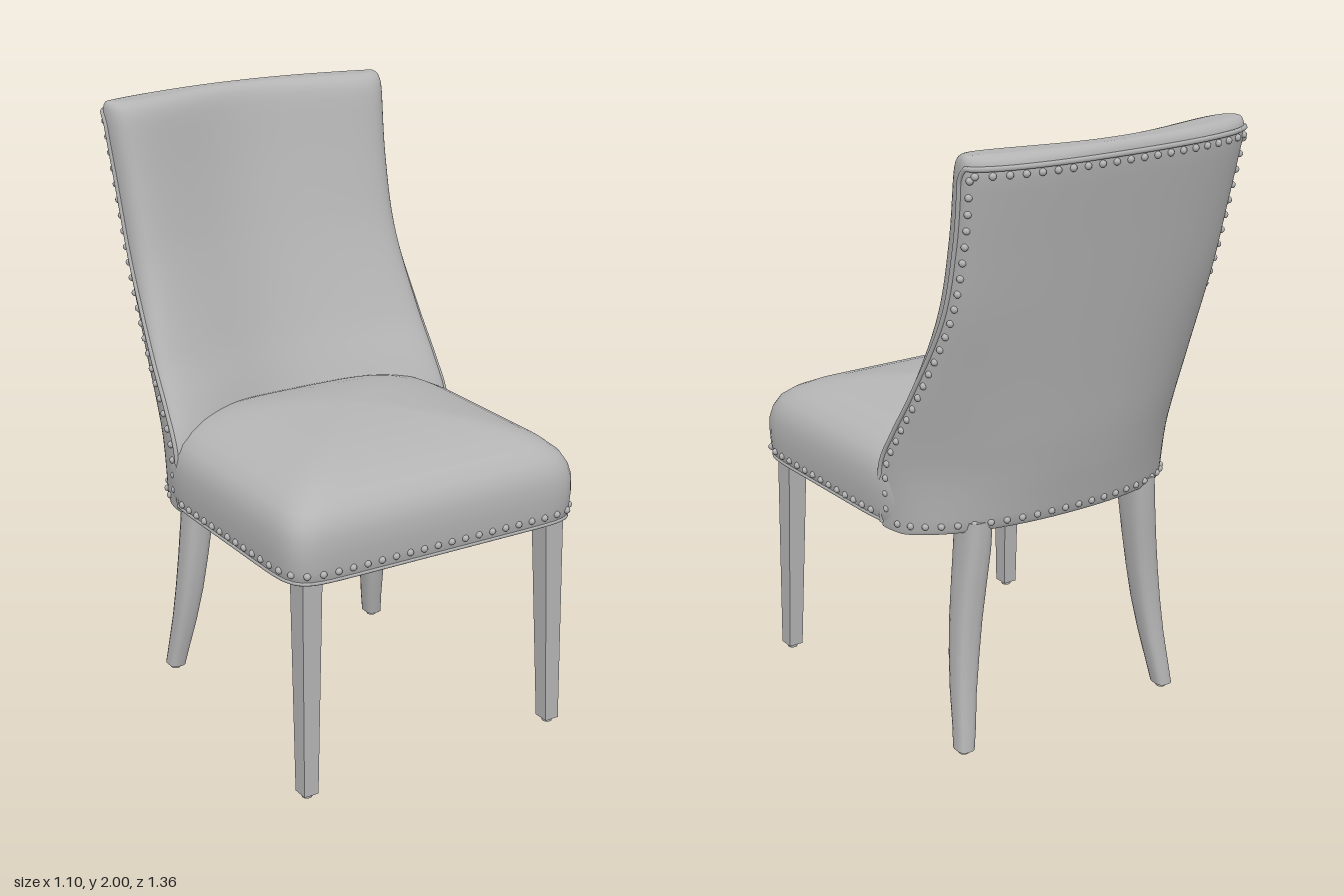
import * as THREE from 'three';

const V = (x, y, z) => new THREE.Vector3(x, y, z);

// Closed rings stacked upward (each running +x to +z), with strip caps at both ends.
function loft(rings, flat = false) {
  const m = rings[0].length, pos = [], idx = [];
  const add = (ring) => { const base = pos.length / 3; ring.forEach(p => pos.push(p.x, p.y, p.z)); return base; };
  rings.forEach(add);
  for (let r = 0; r < rings.length - 1; r++) {
    for (let i = 0; i < m; i++) {
      const a = r * m + i, b = r * m + (i + 1) % m;
      idx.push(a, a + m, b, b, a + m, b + m);
    }
  }
  const bottom = add(rings[0]), top = add(rings[rings.length - 1]);
  for (let i = 0; i < m / 2 - 1; i++) {
    const j = m - 1 - i;
    idx.push(top + i + 1, top + i, top + j, top + i + 1, top + j, top + j - 1);
    idx.push(bottom + i, bottom + i + 1, bottom + j, bottom + j, bottom + i + 1, bottom + j - 1);
  }
  let g = new THREE.BufferGeometry();
  g.setAttribute('position', new THREE.Float32BufferAttribute(pos, 3));
  g.setIndex(idx);
  if (flat) g = g.toNonIndexed();
  g.computeVertexNormals();
  return g;
}

// Smooth interpolation of table rows keyed by their first column
function sample(table, y) {
  const last = table.length - 1;
  let i = 0;
  while (i < last - 1 && y > table[i + 1][0]) i++;
  const a = table[i], b = table[i + 1], h = b[0] - a[0];
  const t = Math.min(1, Math.max(0, (y - a[0]) / h));
  const slope = (k, c) => {
    const p = table[Math.max(0, k - 1)], q = table[Math.min(last, k + 1)];
    return (q[c] - p[c]) / (q[0] - p[0]);
  };
  return a.map((v, c) => v * (1 + 2 * t) * (1 - t) ** 2 + b[c] * t * t * (3 - 2 * t)
    + h * (slope(i, c) * t * (1 - t) ** 2 + slope(i + 1, c) * t * t * (t - 1)));
}

// Backrest: height, half width, rear z, side seam z, wing front z, inner centre z
const BACK = [
  [0.72, 0.525, -0.435, -0.10, -0.085, -0.20],
  [0.93, 0.53, -0.475, -0.105, -0.085, -0.22],
  [1.05, 0.526, -0.50, -0.17, -0.14, -0.265],
  [1.2, 0.52, -0.527, -0.27, -0.23, -0.33],
  [1.48, 0.508, -0.58, -0.43, -0.35, -0.43],
  [1.72, 0.512, -0.625, -0.505, -0.415, -0.50],
  [1.93, 0.525, -0.665, -0.55, -0.46, -0.55],
  [2.0, 0.53, -0.675, -0.56, -0.475, -0.565],
];
const N = 2.3;

// The lower edge rises slightly toward the rear
const lifted = (y, z) => y + 0.04 * Math.max(0, (-0.2 - z) / 0.24) * Math.max(0, 1 - (y - 0.72) / 0.2);

// Point on the outer shell; t runs from -1 (right seam) to 1 (left seam)
function shellOuter(y, t) {
  const [, w, rear, seam] = sample(BACK, y), a = t * Math.PI / 2;
  const x = w * Math.sign(t) * Math.abs(Math.sin(a)) ** (2 / N);
  const z = seam + (rear - seam) * Math.max(0, Math.cos(a)) ** (2 / N);
  return V(x, lifted(y, z), z);
}

// Point on the padded inner face
function shellInner(y, t) {
  const [, w, , seam, front, centre] = sample(BACK, y), s = Math.sin(t * Math.PI / 2);
  const wave = centre + (front - centre) * (1 - Math.cos(Math.PI * Math.abs(s))) / 2;
  const z = seam + (wave - seam) * Math.sqrt(Math.max(0, 1 - Math.abs(s) ** 16));
  return V(w * s, lifted(y, z), z);
}

function backRing(y, inset) {
  const n = 56, outer = [], inner = [];
  for (let i = 0; i <= n; i++) {
    const t = i / n * 2 - 1, o = shellOuter(y, t), p = shellInner(y, t);
    const mid = o.clone().add(p).multiplyScalar(0.5);
    for (const q of [o, p]) { q.lerp(mid, inset); q.x *= 1 - 0.06 * inset; }
    outer.push(o);
    inner.unshift(p);
  }
  return outer.concat(inner);
}

// Rounded plan outline of the seat
const SEAT_Z = 0.1;
function seatPoint(angle, scale, y) {
  const c = Math.cos(angle), s = Math.sin(angle);
  const n = s > 0 ? 12 : 4, depth = s > 0 ? 0.57 : 0.44;
  const r = scale * (Math.abs(c / 0.543) ** n + Math.abs(s / depth) ** n) ** (-1 / n);
  return V(r * c, y, SEAT_Z + r * s);
}

function span(from, to, n, f) {
  return Array.from({ length: n + 1 }, (_, i) => f(from + (to - from) * i / n));
}

export function createModel() {
  const chair = new THREE.Group();
  chair.name = 'diningChair';
  const grey = new THREE.MeshStandardMaterial({ color: 0xb4b4b4 });
  grey.name = 'plainGrey';
  const add = (name, geometry, parent = chair) => {
    const mesh = new THREE.Mesh(geometry, grey);
    mesh.name = name;
    parent.add(mesh);
    return mesh;
  };

  // Domed seat cushion: height, plan scale
  const seatRows = [[0.735, 0.97], [0.745, 0.985], [0.78, 0.995], [0.83, 1], [0.88, 0.998], [0.92, 0.98],
    [0.955, 0.945], [0.985, 0.88], [1.01, 0.79], [1.03, 0.67], [1.047, 0.52], [1.059, 0.35], [1.067, 0.17], [1.069, 0.03]];
  add('seatCushion', loft(seatRows.map(([y, k]) =>
    Array.from({ length: 160 }, (_, i) => seatPoint(i / 160 * Math.PI * 2, k, y)))));

  // Wraparound backrest with a rolled top
  const backRows = [[0.72, 0.06], [0.735, 0]];
  for (let i = 1; i <= 30; i++) backRows.push([0.735 + 1.195 * i / 30, 0]);
  backRows.push([1.955, 0.03], [1.975, 0.1], [1.988, 0.22], [1.996, 0.38], [2.0, 0.6]);
  add('backrest', loft(backRows.map(([y, k]) => backRing(y, k))));

  // Piping along the backrest seam and the seat's lower edge
  const tube = (name, points, r) =>
    add(name, new THREE.TubeGeometry(new THREE.CatmullRomCurve3(points), 180, r, 6));
  const seamUp = t => span(0.735, 1.93, 24, y => shellOuter(y, t));
  tube('backPiping', [...seamUp(-1), ...span(-0.92, 0.92, 24, t => shellOuter(1.965, t)), ...seamUp(1).reverse()], 0.008);
  tube('seatPiping', span(-0.36, Math.PI + 0.36, 120, a => seatPoint(a, 0.982, 0.744)), 0.007);

  // Nail heads spaced evenly along the trimmed edges
  const nail = new THREE.SphereGeometry(0.0115, 10, 6);
  const nails = (name, points) => {
    const row = new THREE.Group(), curve = new THREE.CatmullRomCurve3(points);
    row.name = name;
    curve.getSpacedPoints(Math.round(curve.getLength() / 0.052))
      .forEach(p => add('nailHead', nail, row).position.copy(p));
    chair.add(row);
  };
  nails('seatNails', span(-0.28, Math.PI + 0.28, 160, a => seatPoint(a, 0.994, 0.765 + 0.01 * Math.max(0, Math.sin(a)))));
  nails('backBottomNails', span(-0.88, 0.88, 60, t => shellOuter(0.752, t)));
  nails('backTopNails', span(-0.8, 0.8, 40, t => shellOuter(1.943, t)));
  for (const side of [-1, 1]) {
    nails('backSideNails', span(0.79, 1.93, 40, y => {
      const [, w, rear, seam] = sample(BACK, y), d = 0.032;
      return V(side * w * (1 - (d / (seam - rear)) ** N) ** (1 / N), y, seam - d);
    }));
  }

  // Leg section: y, centre x, centre z, half width, half depth
  const legRing = ([y, x, z, a, b], side, count, n) => Array.from({ length: count }, (_, i) => {
    const t = (i + 0.5) / count * Math.PI * 2, c = Math.cos(t), s = Math.sin(t);
    const r = (Math.abs(c) ** n + Math.abs(s) ** n) ** (-1 / n);
    return V(side * x + a * r * c, y, z + b * r * s);
  });
  const frontRows = [[0.014, 0.47, 0.613, 0.027, 0.029], [0.76, 0.456, 0.59, 0.037, 0.041]];
  const rearRows = [[0.014, 0.411, -0.386, 0.028, 0.034], [0.08, 0.402, -0.375, 0.031, 0.036],
    [0.2, 0.388, -0.351, 0.036, 0.041], [0.32, 0.374, -0.336, 0.041, 0.046], [0.44, 0.361, -0.328, 0.044, 0.05],
    [0.56, 0.347, -0.326, 0.046, 0.055], [0.68, 0.334, -0.326, 0.047, 0.061], [0.78, 0.328, -0.326, 0.047, 0.062]];
  const glide = new THREE.CylinderGeometry(0.019, 0.017, 0.016, 12);
  for (const side of [-1, 1]) {
    add('frontLeg', loft(frontRows.map(r => legRing(r, side, 4, 12)), true));
    add('rearLeg', loft(rearRows.map(r => legRing(r, side, 20, 3.5))));
    for (const [, x, z] of [frontRows[0], rearRows[0]]) add('footGlide', glide).position.set(side * x, 0.008, z);
  }
  return chair;
}
